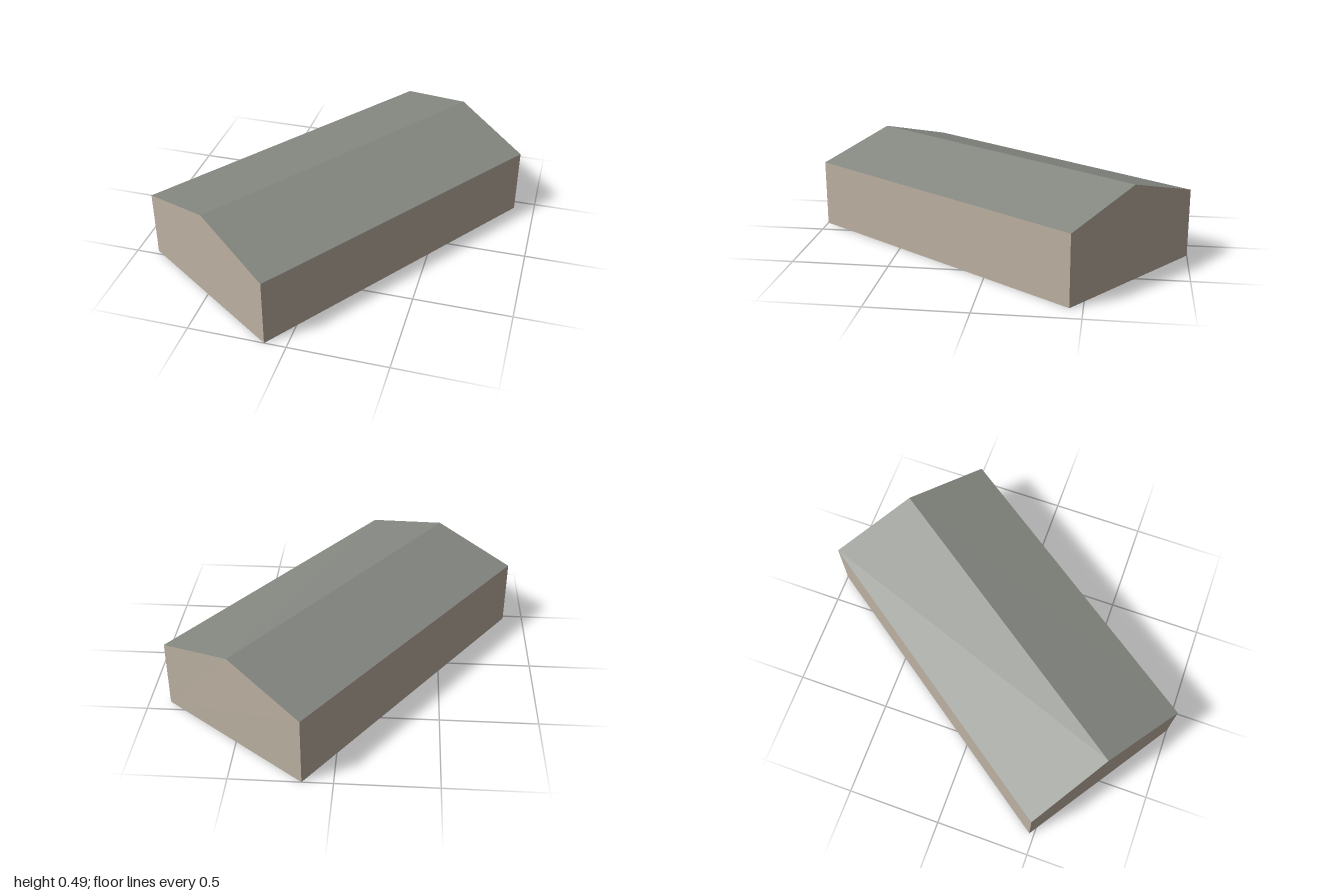
import * as THREE from 'three';

const wallMaterial = new THREE.MeshStandardMaterial({ name: 'beige wall', color: 0xbdb2a3, side: THREE.DoubleSide });
const roofMaterial = new THREE.MeshStandardMaterial({ name: 'grey roof', color: 0x868982, side: THREE.DoubleSide });

// Flat convex panel from corners listed counterclockwise as seen from outside
function panel(name, corners, material) {
  const points = [];
  for (let i = 1; i < corners.length - 1; i++) points.push(corners[0], corners[i], corners[i + 1]);
  const geometry = new THREE.BufferGeometry().setFromPoints(points);
  geometry.computeVertexNormals();
  const mesh = new THREE.Mesh(geometry, material);
  mesh.name = name;
  return mesh;
}

export function createModel() {
  const group = new THREE.Group();
  group.name = 'gabledBuilding';
  const eave = 0.358, ridge = 0.485;

  // Footprint corners, counterclockwise from above, starting at the front gable
  const footprint = [[-0.89, 0.475], [-0.11, 1], [0.89, -0.437], [0.15, -1]];
  const base = footprint.map(([x, z]) => new THREE.Vector3(x, 0, z));
  const top = footprint.map(([x, z]) => new THREE.Vector3(x, eave, z));
  const frontPeak = new THREE.Vector3(-0.5, ridge, 0.737);
  const backPeak = new THREE.Vector3(0.52, ridge, -0.716);

  // Walls, the gable ends rising to the ridge; the underside is open
  const names = ['frontGable', 'leftWall', 'backGable', 'rightWall'];
  const peaks = [[frontPeak], [], [backPeak], []];
  names.forEach((name, i) => {
    const j = (i + 1) % 4;
    group.add(panel(name, [base[i], base[j], top[j], ...peaks[i], top[i]], wallMaterial));
  });

  // Two roof slopes
  group.add(panel('leftRoof', [top[1], top[2], backPeak, frontPeak], roofMaterial));
  group.add(panel('rightRoof', [top[3], top[0], frontPeak, backPeak], roofMaterial));
  return group;
}
